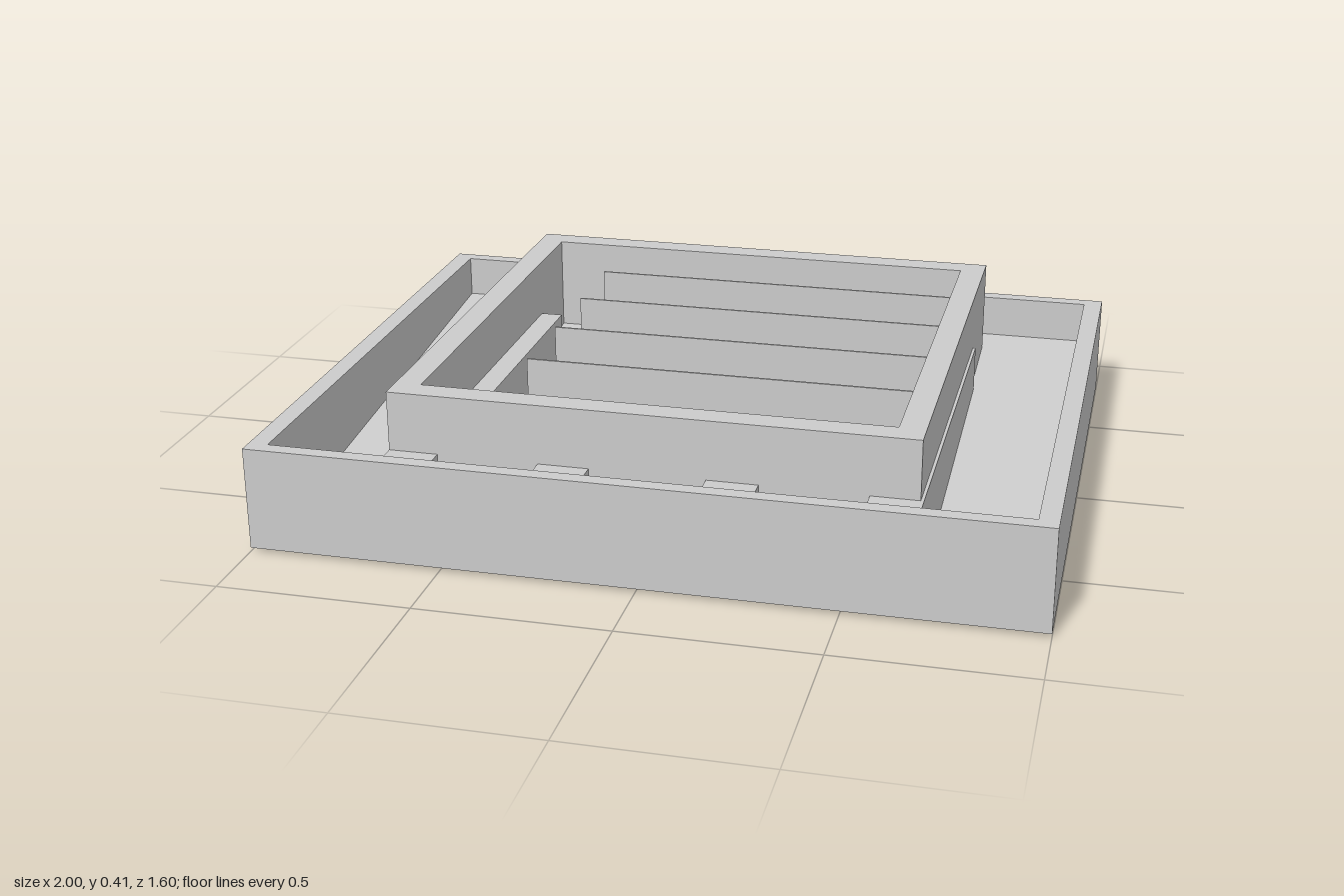
import * as THREE from 'three';

const material = new THREE.MeshStandardMaterial({ color: 0xcccccc, flatShading: true });

function addPart(group, name, geometry) {
  const mesh = new THREE.Mesh(geometry, material);
  mesh.name = name;
  group.add(mesh);
}

// Box given by its lower and upper limits on each axis
function box(x0, x1, y0, y1, z0, z1) {
  return new THREE.BoxGeometry(x1 - x0, y1 - y0, z1 - z0)
    .translate((x0 + x1) / 2, (y0 + y1) / 2, (z0 + z1) / 2);
}

// Rectangular wall ring, open at top and bottom
function ring(outX, outZ, inX, inZ, y0, y1) {
  const rect = (C, x, z) => new C([[-x, -z], [x, -z], [x, z], [-x, z]].map(p => new THREE.Vector2(...p)));
  const shape = rect(THREE.Shape, outX, outZ);
  shape.holes.push(rect(THREE.Path, inX, inZ));
  return new THREE.ExtrudeGeometry(shape, { depth: y1 - y0, bevelEnabled: false })
    .rotateX(-Math.PI / 2).translate(0, y0, 0);
}

// Side profile of [z, y] points, extruded from x0 to x1
function sideProfile(points, x0, x1) {
  const shape = new THREE.Shape(points.map(p => new THREE.Vector2(...p)));
  return new THREE.ExtrudeGeometry(shape, { depth: x1 - x0, bevelEnabled: false })
    .rotateY(-Math.PI / 2).translate(x1, 0, 0);
}

export function createModel() {
  const model = new THREE.Group();
  model.name = 'slattedTray';

  // Outer tray
  addPart(model, 'trayWalls', ring(1, 0.8, 0.95, 0.76, 0.01, 0.28));
  addPart(model, 'trayBase', box(-0.97, 0.97, 0.01, 0.035, -0.78, 0.78));

  // Floor plate sloping down to the front, its lower edge just under the tray
  addPart(model, 'slopedFloor',
    sideProfile([[-0.77, 0.14], [0.78, 0], [0.78, 0.027], [-0.77, 0.166]], -0.96, 0.96));

  // Wedge rails with level tops that follow the floor below
  const rails = new THREE.Group();
  rails.name = 'rails';
  for (const [x0, x1] of [[-0.667, -0.54], [-0.28, -0.15], [0.145, 0.275], [0.545, 0.675]]) {
    addPart(rails, 'rail',
      sideProfile([[-0.39, 0.12], [0.76, 0.02], [0.76, 0.255], [-0.39, 0.255]], x0, x1));
  }
  model.add(rails);

  // Raised inner frame
  addPart(model, 'innerFrame', ring(0.667, 0.667, 0.6, 0.6, 0.13, 0.41));

  // Thin upright slats, fixed to one side of the frame
  const slats = new THREE.Group();
  slats.name = 'slats';
  for (const z of [-0.365, -0.125, 0.115, 0.36]) {
    addPart(slats, 'slat', box(-0.4, 0.6, 0.25, 0.408, z - 0.003, z + 0.003));
  }
  model.add(slats);

  return model;
}
